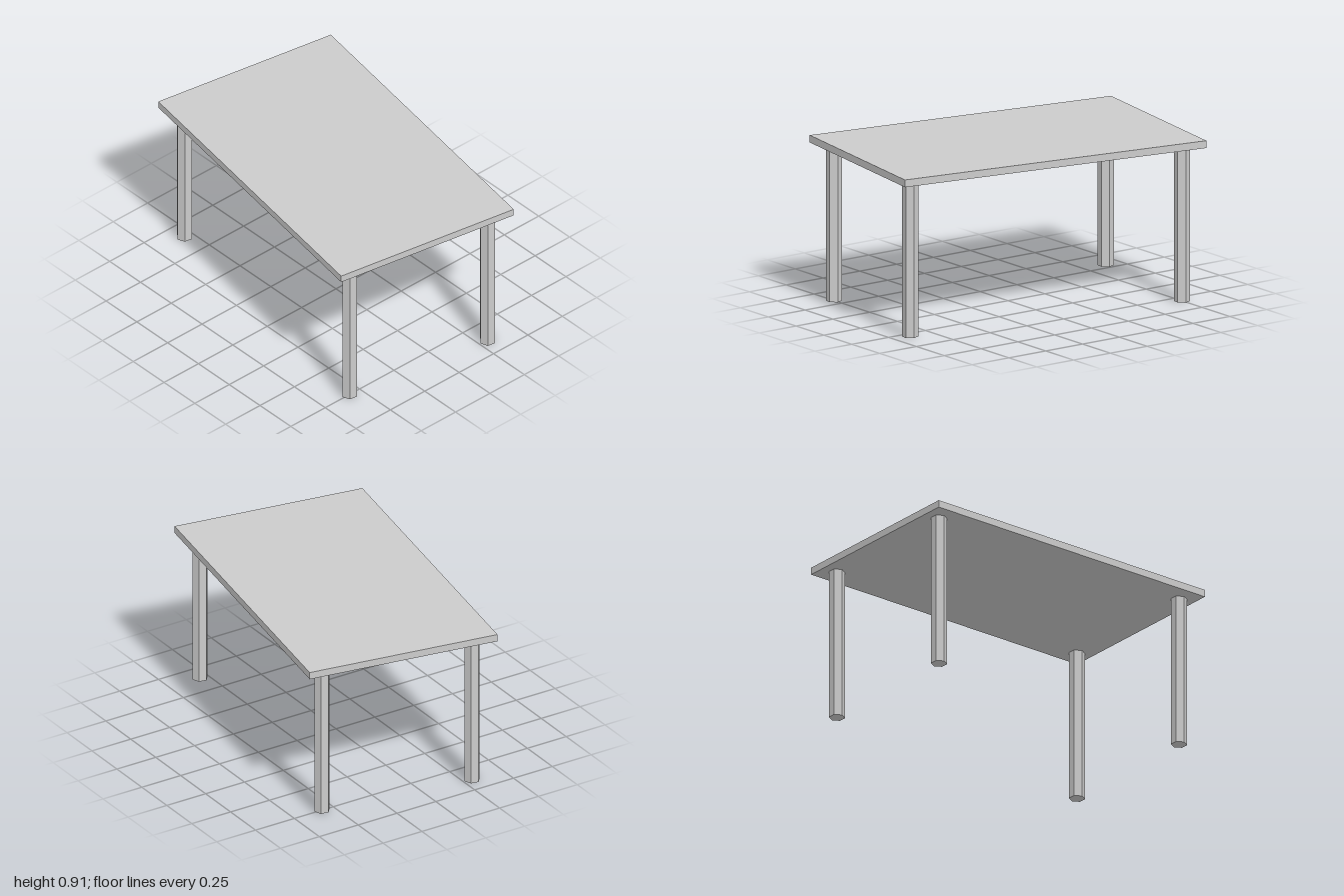
import * as THREE from 'three';

const WIDTH = 1.844, DEPTH = 1.108;   // table top
const LEG_HEIGHT = 0.869, TOP_THICKNESS = 0.041;
const LEG_RADIUS = 0.0444, LEG_X = 0.832, LEG_Z = 0.443;

export function createModel() {
  const material = new THREE.MeshStandardMaterial({ color: 0xcccccc, flatShading: true });
  const table = new THREE.Group();
  table.name = 'table';

  // Rectangular top slab
  const top = new THREE.Mesh(new THREE.BoxGeometry(WIDTH, TOP_THICKNESS, DEPTH), material);
  top.name = 'tableTop';
  top.position.y = LEG_HEIGHT + TOP_THICKNESS / 2;
  table.add(top);

  // Four hexagonal legs, mirrored about both axes
  const legGeometry = new THREE.CylinderGeometry(LEG_RADIUS, LEG_RADIUS, LEG_HEIGHT, 6);
  for (const [side, sx] of [['Left', 1], ['Right', -1]]) {
    for (const [end, sz] of [['front', 1], ['back', -1]]) {
      const leg = new THREE.Mesh(legGeometry, material);
      leg.name = `${end}${side}Leg`;
      leg.position.set(sx * LEG_X, LEG_HEIGHT / 2, sz * LEG_Z);
      table.add(leg);
    }
  }

  // The whole table stands slightly turned
  table.rotation.y = -0.163;

  const model = new THREE.Group();
  model.add(table);
  return model;
}
